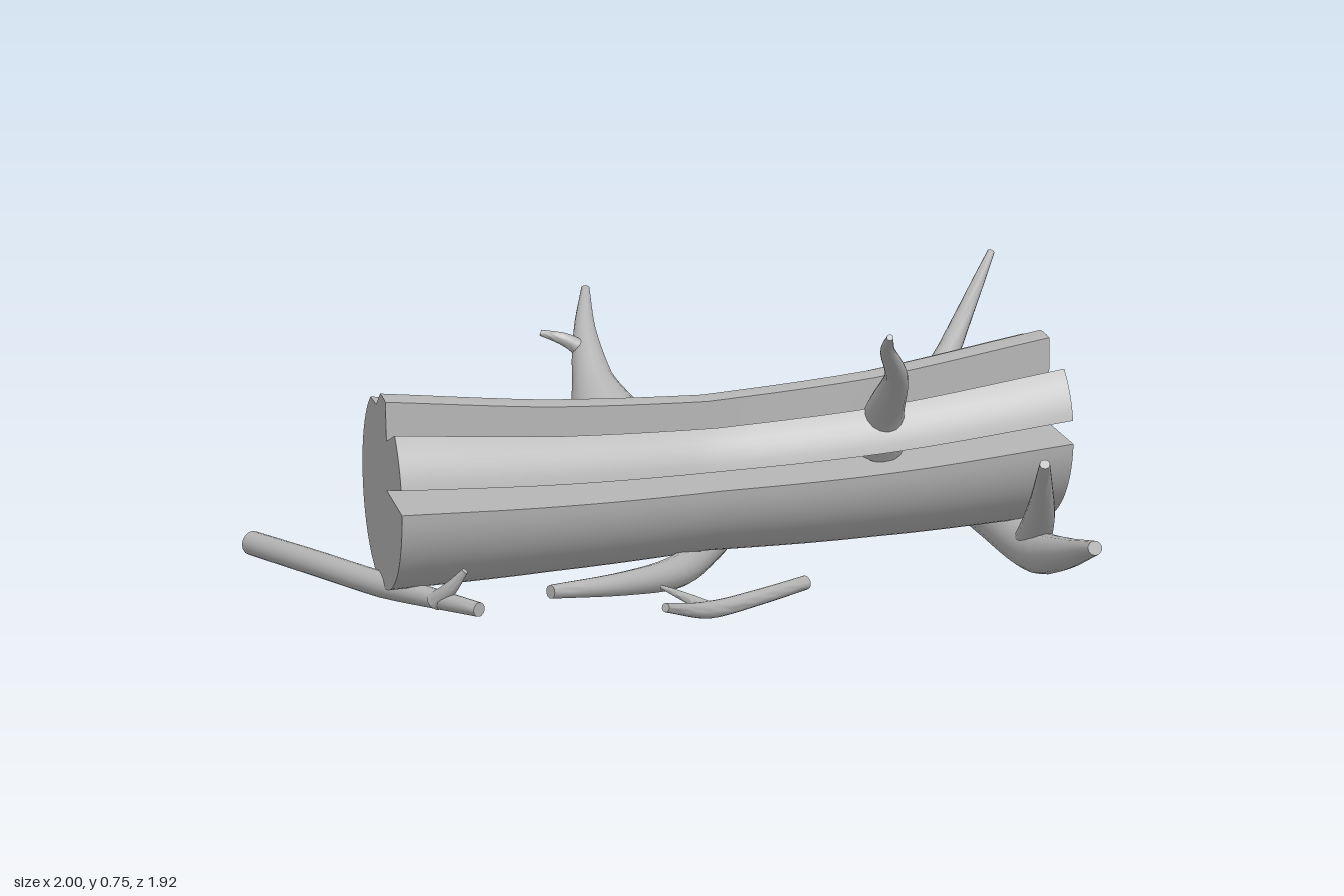
import * as THREE from 'three';
import { toCreasedNormals } from 'three/addons/utils/BufferGeometryUtils.js';

const wood = new THREE.MeshStandardMaterial({ color: 0xb2b2b2 });
wood.name = 'grey wood';

// Smooth path through [x, y, z, radius] points
function makePath(pts) {
  const curve = new THREE.CatmullRomCurve3(pts.map((p) => new THREE.Vector3(p[0], p[1], p[2])));
  const radius = (t) => {
    const s = t * (pts.length - 1);
    const i = Math.min(Math.floor(s), pts.length - 2);
    return THREE.MathUtils.lerp(pts[i][3], pts[i + 1][3], s - i);
  };
  return { curve, radius };
}

// Tapered round branch with flat ends
function branch(name, pts) {
  const { curve, radius } = makePath(pts);
  const rings = pts.length > 2 ? (pts.length - 1) * 5 : 4;
  const frames = curve.computeFrenetFrames(rings, false);
  const geo = new THREE.CylinderGeometry(1, 1, 1, 16, rings);
  const pos = geo.attributes.position;
  for (let k = 0; k < pos.count; k++) {
    const i = Math.round((pos.getY(k) + 0.5) * rings);
    const u = i / rings;
    const r = radius(curve.getUtoTmapping(u));
    const p = curve.getPointAt(u)
      .addScaledVector(frames.normals[i], pos.getZ(k) * r)
      .addScaledVector(frames.binormals[i], pos.getX(k) * r);
    pos.setXYZ(k, p.x, p.y, p.z);
  }
  const mesh = new THREE.Mesh(toCreasedNormals(geo, 0.8), wood);
  mesh.name = name;
  return mesh;
}

// Trunk: a notched disc extruded, then bent and tapered along its path
function trunk() {
  const outline = [];
  const arc = (from, to, n) => {
    for (let i = 0; i <= n; i++) {
      const a = THREE.MathUtils.degToRad(from + (to - from) * (i / n));
      outline.push(new THREE.Vector2(Math.cos(a), Math.sin(a)));
    }
  };
  const corner = (x, y) => outline.push(new THREE.Vector2(x, y));
  arc(119, 358, 44);           // round back, underside and front
  corner(0.26, 0.06);          // side slit
  arc(12, 45, 6);              // front lip
  corner(0.29, 0.57);          // upper notch
  arc(74, 89, 3);              // top ridge
  corner(-0.2, 0.85);          // shallow top groove

  const { curve, radius } = makePath([
    [-0.895, 0.285, -0.375, 0.248],
    [-0.51, 0.272, -0.205, 0.22],
    [-0.125, 0.275, -0.045, 0.202],
    [0.27, 0.3, 0.155, 0.218],
    [0.69, 0.355, 0.365, 0.247],
  ]);
  const geo = new THREE.ExtrudeGeometry(new THREE.Shape(outline),
    { depth: 1, steps: 20, bevelEnabled: false });
  const side = new THREE.Vector3(-0.423, 0, 0.906);
  const pos = geo.attributes.position;
  for (let k = 0; k < pos.count; k++) {
    const t = THREE.MathUtils.clamp(1 - pos.getZ(k), 0, 1);
    const r = radius(t);
    const p = curve.getPoint(t).addScaledVector(side, pos.getX(k) * r);
    pos.setXYZ(k, p.x, p.y + pos.getY(k) * r, p.z);
  }
  const mesh = new THREE.Mesh(toCreasedNormals(geo, 0.5), wood);
  mesh.name = 'trunk';
  return mesh;
}

export function createModel() {
  const model = new THREE.Group();
  model.name = 'fallenLog';
  model.add(trunk());

  const branches = {
    // Branches growing from the trunk
    frontBranch: [[0.24, 0.35, 0.23, 0.07], [0.185, 0.45, 0.31, 0.05], [0.11, 0.56, 0.425, 0.03],
      [0, 0.65, 0.505, 0.018], [-0.06, 0.7, 0.575, 0.008]],
    backBranch: [[-0.26, 0.37, -0.25, 0.11], [-0.235, 0.48, -0.345, 0.055],
      [-0.175, 0.59, -0.45, 0.03], [-0.09, 0.685, -0.55, 0.011]],
    backBranchFork: [[-0.2, 0.54, -0.4, 0.025], [-0.25, 0.58, -0.435, 0.018], [-0.3, 0.6, -0.48, 0.008]],
    endBranch: [[0.56, 0.44, 0.11, 0.045], [0.9, 0.74, -0.02, 0.01]],
    // Thick stick on the ground under the raised end
    groundStick: [[0.94, 0.083, -0.225, 0.065], [0.72, 0.077, 0.165, 0.066], [0.52, 0.065, 0.53, 0.058],
      [0.415, 0.11, 0.72, 0.042], [0.285, 0.185, 0.945, 0.018]],
    groundStickFork: [[0.55, 0.07, 0.48, 0.05], [0.46, 0.185, 0.595, 0.038], [0.325, 0.355, 0.735, 0.013]],
    // Long stick behind the lower end
    backStick: [[-0.89, 0.047, -0.96, 0.032], [-0.89, 0.045, -0.68, 0.033],
      [-0.872, 0.034, -0.4, 0.033], [-0.85, 0.036, -0.045, 0.018]],
    backStickTwig: [[-0.868, 0.03, -0.2, 0.024], [-0.858, 0.07, -0.15, 0.018], [-0.842, 0.12, -0.11, 0.008]],
    // Branch running under the trunk
    underBranch: [[-0.73, 0.085, 0.085, 0.017], [-0.5, 0.068, 0.09, 0.03], [-0.28, 0.05, 0.03, 0.042],
      [0, 0.052, -0.15, 0.046], [0.18, 0.057, -0.27, 0.034], [0.37, 0.06, -0.31, 0.012]],
    // Loose forked twig in front
    looseTwig: [[-0.61, 0.08, 0.375, 0.011], [-0.43, 0.035, 0.33, 0.022],
      [-0.25, 0.032, 0.31, 0.02], [-0.07, 0.035, 0.287, 0.018]],
    looseTwigFork: [[-0.425, 0.035, 0.325, 0.019], [-0.445, 0.055, 0.26, 0.012], [-0.47, 0.075, 0.195, 0.005]],
  };
  for (const [name, pts] of Object.entries(branches)) model.add(branch(name, pts));
  return model;
}
